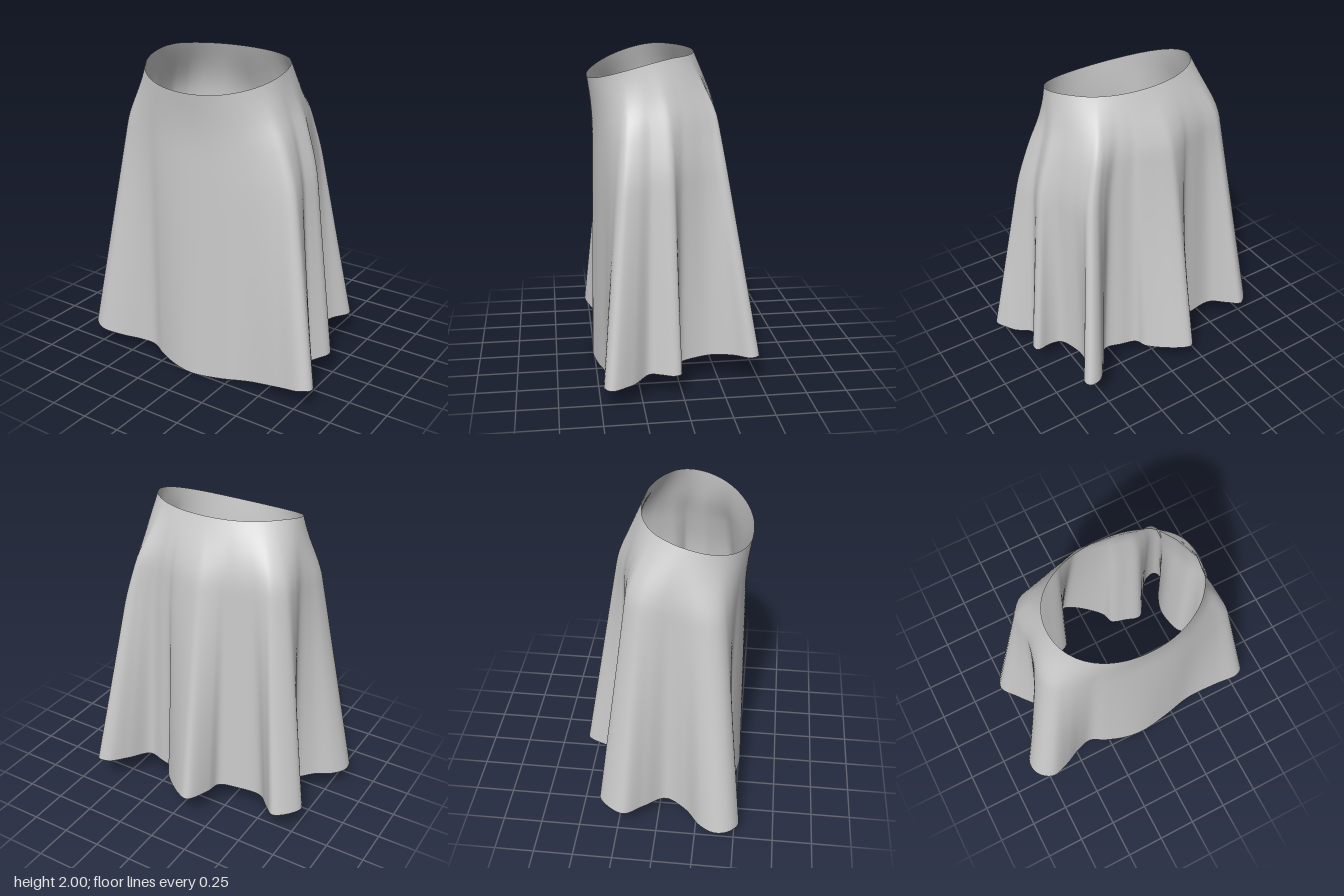
import * as THREE from 'three';

// Hem seen from above as [x, z], running from the front centre round by +x
const HEM = [
  [0, 0.51], [0.2, 0.485], [0.4, 0.45], [0.62, 0.462], [0.79, 0.48], [0.838, 0.44], [0.77, 0.31],
  [0.68, 0.2], [0.71, 0.13], [0.747, 0.06], [0.735, 0.015], [0.64, 0.02], [0.57, 0], [0.53, -0.1],
  [0.52, -0.21], [0.565, -0.33], [0.635, -0.43], [0.615, -0.48], [0.54, -0.47], [0.45, -0.36],
  [0.36, -0.23], [0.25, -0.255], [0.15, -0.29], [0.125, -0.36], [-0.05, -0.51], [-0.13, -0.535],
  [-0.2, -0.38], [-0.22, -0.28], [-0.35, -0.24], [-0.5, -0.23], [-0.59, -0.31], [-0.67, -0.37],
  [-0.79, -0.21], [-0.7, -0.08], [-0.61, 0.05], [-0.68, 0.18], [-0.8, 0.29], [-0.843, 0.39],
  [-0.815, 0.48], [-0.73, 0.53], [-0.6, 0.49], [-0.48, 0.43], [-0.38, 0.405], [-0.28, 0.45], [-0.14, 0.495],
];
const COLS = 270, ROWS = 40, SPAN = 18;
const WAIST = { x: -0.015, z: 0.18, rx: 0.47, rz: 0.33, power: 2.1 };
const HIP = { x: -0.04, z: 0.115, rx: 0.525, rz: 0.357, power: 2.65 };
const { lerp, smoothstep } = THREE.MathUtils;

// Point on a rounded oval; angle 0 faces the front
function oval(o, angle) {
  const s = Math.sin(angle), c = Math.cos(angle);
  const r = Math.pow(Math.abs(s) ** o.power + Math.abs(c) ** o.power, -1 / o.power);
  return [o.x + o.rx * r * s, o.z + o.rz * r * c];
}

// The hem dips at the front centre and rises gently to the back
function hemHeight(x, z) {
  const front = 0.13 * Math.min(1, Math.abs(x) / 0.8) ** 1.6;
  const back = 0.13 + 0.075 * (0.45 - z);
  return lerp(back, front, smoothstep(z, 0.2, 0.38));
}

const waistHeight = (z) => 2 - 0.15 * (Math.max(0, z) / 0.51) ** 1.5;

function skirtGeometry() {
  const curve = new THREE.CatmullRomCurve3(HEM.map(([x, z]) => new THREE.Vector3(x, 0, z)), true, 'centripetal');
  const hem = curve.getSpacedPoints(COLS).slice(0, COLS);

  // Angle of each hem point round the body, unwrapped, then smoothed across the folds
  const raw = [];
  hem.forEach((p, i) => {
    let a = Math.atan2((p.x - HIP.x) / HIP.rx, (p.z - HIP.z) / HIP.rz);
    if (i) while (a < raw[i - 1] - Math.PI) a += 2 * Math.PI;
    raw.push(a);
  });
  const angles = raw.map((_, i) => {
    let sum = 0;
    for (let k = i - SPAN; k <= i + SPAN; k++) {
      sum += raw[(k + COLS) % COLS] + 2 * Math.PI * Math.floor(k / COLS);
    }
    return sum / (2 * SPAN + 1);
  });

  // Rings from waist to hem: waist eases into the hip, the hip flares into the folds
  const positions = [], index = [];
  for (let j = 0; j <= ROWS; j++) {
    const t = (j / ROWS) ** 1.2;
    const ease = Math.sin(Math.min(1, t / 0.22) * Math.PI / 2);
    const flare = t * smoothstep(t, -0.06, 0.2);
    // Slight outward belly on the +x side below the hip
    const belly = 0.075 * smoothstep(t, 0.1, 0.38) * (1 - t);
    for (let i = 0; i < COLS; i++) {
      const h = hem[i];
      const [wx, wz] = oval(WAIST, angles[i]);
      const [hx, hz] = oval(HIP, angles[i]);
      positions.push(
        lerp(lerp(wx, hx, ease), h.x, flare) + belly * Math.max(0, Math.sin(angles[i])),
        lerp(waistHeight(wz), hemHeight(h.x, h.z), t),
        lerp(lerp(wz, hz, ease), h.z, flare),
      );
      if (j < ROWS) {
        const a = j * COLS + i, b = j * COLS + (i + 1) % COLS;
        index.push(a, a + COLS, b, b, a + COLS, b + COLS);
      }
    }
  }
  const geometry = new THREE.BufferGeometry();
  geometry.setAttribute('position', new THREE.Float32BufferAttribute(positions, 3));
  geometry.setIndex(index);
  geometry.computeVertexNormals();
  return geometry;
}

export function createModel() {
  const group = new THREE.Group();
  group.name = 'flaredSkirt';
  const cloth = new THREE.MeshStandardMaterial({ color: 0xcccccc, side: THREE.DoubleSide });
  const skirt = new THREE.Mesh(skirtGeometry(), cloth);
  skirt.name = 'skirtCloth';
  group.add(skirt);
  return group;
}
